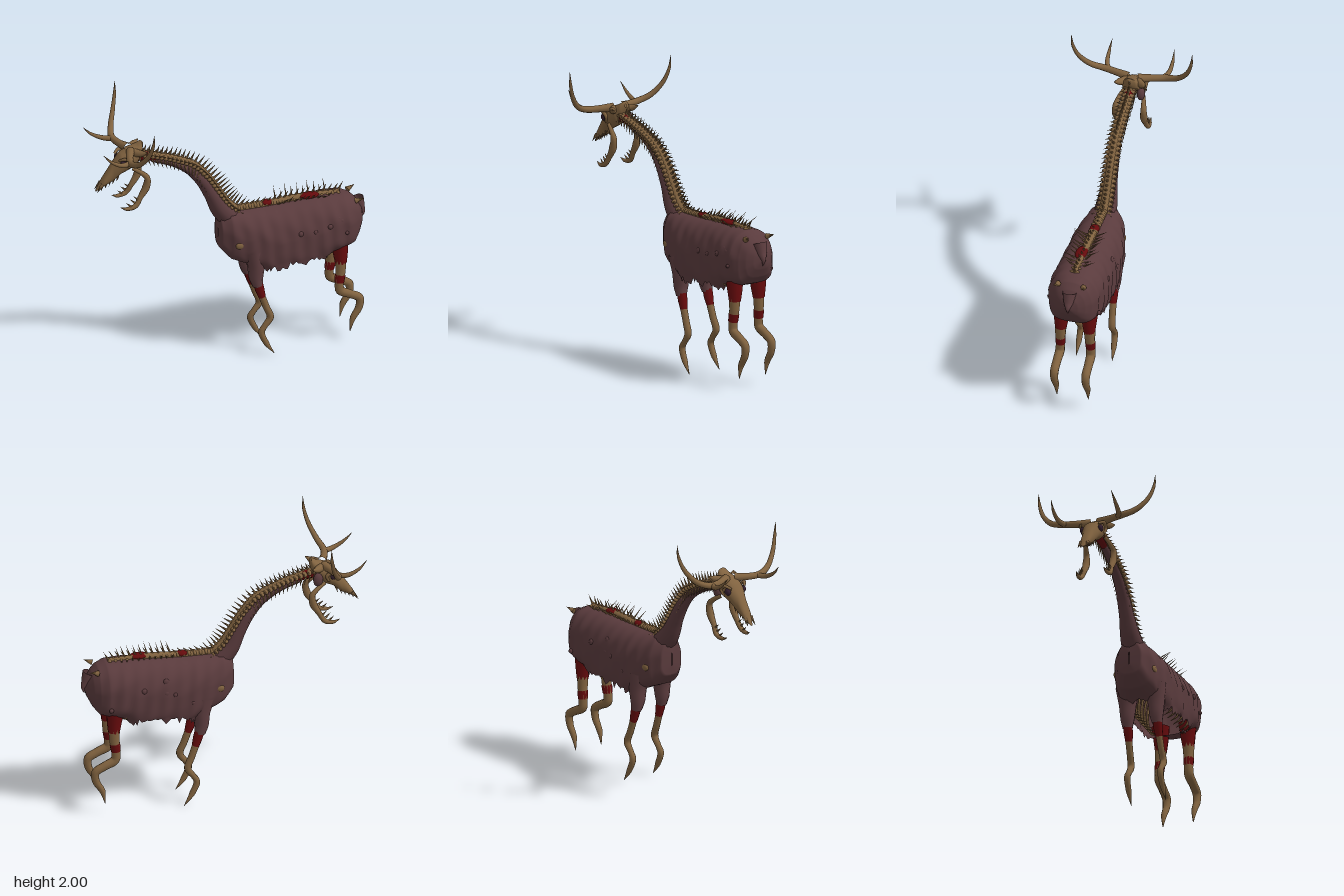
import * as THREE from 'three';
import { mergeGeometries } from 'three/addons/utils/BufferGeometryUtils.js';

const mat = (name, color, side = THREE.FrontSide) => {
  const m = new THREE.MeshStandardMaterial({ color, side });
  m.name = name;
  return m;
};
const V = (x, y, z = 0) => new THREE.Vector3(x, y, z);

// Seeded random numbers for ragged detail
let seed = 7;
const rand = () => (seed = (seed * 16807) % 2147483647) / 2147483647;

// Value row at fraction u along a list of stations
const rowAt = (rows, u) => {
  const f = u * (rows.length - 1), i = Math.min(Math.floor(f), rows.length - 2);
  return rows[i].map((a, k) => a + (rows[i + 1][k] - a) * (f - i));
};

// Surface from cross-sections: u runs along +x, v around from the bottom over the top
function loft(nu, nv, fn) {
  const pos = [], idx = [];
  for (let i = 0; i <= nu; i++)
    for (let j = 0; j <= nv; j++) pos.push(...fn(i / nu, j / nv));
  for (let i = 0; i < nu; i++)
    for (let j = 0; j < nv; j++) {
      const a = i * (nv + 1) + j, b = a + nv + 1;
      idx.push(a, a + 1, b, b, a + 1, b + 1);
    }
  const g = new THREE.BufferGeometry();
  g.setAttribute('position', new THREE.Float32BufferAttribute(pos, 3));
  g.setIndex(idx);
  g.computeVertexNormals();
  return g;
}

// Tube whose radius follows its control points [x, y, z, radius]
function limb(pts, sides = 10) {
  const curve = new THREE.CatmullRomCurve3(pts.map(p => V(p[0], p[1], p[2])), false, 'centripetal');
  const n = pts.length * 6, g = new THREE.TubeGeometry(curve, n, 1, sides);
  const p = g.attributes.position, v = V(0, 0);
  for (let i = 0; i <= n; i++) {
    const c = curve.getPointAt(i / n), r = rowAt(pts, curve.getUtoTmapping(i / n))[3];
    for (let j = 0; j <= sides; j++) {
      const k = i * (sides + 1) + j;
      v.fromBufferAttribute(p, k).sub(c).multiplyScalar(r).add(c);
      p.setXYZ(k, v.x, v.y, v.z);
    }
  }
  return g;
}

// Cone from a base point to a tip
function spike(base, tip, r) {
  const d = tip.clone().sub(base), g = new THREE.ConeGeometry(r, d.length(), 6);
  g.translate(0, d.length() / 2, 0);
  g.applyQuaternion(new THREE.Quaternion().setFromUnitVectors(V(0, 1), d.normalize()));
  return g.translate(base.x, base.y, base.z);
}

function blob(x, y, z, sx, sy, sz) {
  return new THREE.SphereGeometry(1, 14, 10).scale(sx, sy, sz).translate(x, y, z);
}

export function createModel() {
  const bone = mat('bone', 0x80623f);
  const hide = mat('hide', 0x5a3b3d, THREE.DoubleSide);
  const flesh = mat('flesh', 0x640a0c);
  const eyeMat = mat('eye', 0x35202f);
  const model = new THREE.Group();
  const add = (name, geo, material) => {
    const m = new THREE.Mesh(Array.isArray(geo) ? mergeGeometries(geo) : geo, material);
    m.name = name;
    model.add(m);
  };

  // Body hide: x, top, bottom, half width, how far round it wraps (1 = closed)
  const body = [
    [-0.078, 0.99, 0.9, 0.005, 1], [-0.07, 1.08, 0.83, 0.085, 1], [0, 1.11, 0.75, 0.135, 1],
    [0.1, 1.1, 0.71, 0.165, 1], [0.2, 1.1, 0.66, 0.185, 0.85], [0.28, 1.1, 0.62, 0.19, 0.66],
    [0.45, 1.11, 0.63, 0.192, 0.66], [0.62, 1.12, 0.65, 0.192, 0.68], [0.72, 1.12, 0.71, 0.19, 1],
    [0.82, 1.115, 0.73, 0.178, 1], [0.88, 1.09, 0.75, 0.15, 1], [0.92, 1.05, 0.8, 0.11, 1],
    [0.95, 1.0, 0.86, 0.065, 1], [0.97, 0.95, 0.92, 0.005, 1]];
  const jag = Array.from({ length: 240 }, () => rand() * 0.06 - 0.025);
  add('bodyHide', loft(117, 48, (u, v) => {
    const [x, top, bot, w, wrap] = rowAt(body, u);
    const a = (v * 2 - 1) * Math.PI * wrap, c = Math.cos(a), s = Math.sin(a);
    const mid = (top + bot) / 2, half = (top - bot) / 2;
    const ripple = 1 + 0.022 * Math.sin(x * 62 + 2.5 * c) + 0.012 * Math.sin(x * 23 + c * 9);
    let y = mid + half * (c > 0 ? c * (0.98 + 0.02 * ripple) : -Math.sqrt(-c));
    if ((v === 0 || v === 1) && wrap < 0.95) y -= jag[Math.round(u * 117) + (v ? 120 : 0)];
    return [x, y, w * ripple * Math.sign(s) * Math.abs(s) ** (c < 0 ? 0.6 : 0.85)];
  }), hide);

  // Lumps, torn patches and tail
  const lumps = [];
  for (let i = 0; i < 14; i++) {
    const x = 0.12 + rand() * 0.7, y = 0.8 + rand() * 0.22, r = 0.012 + rand() * 0.012;
    lumps.push(blob(x, y, (i % 2 ? 1 : -1) * (y > 0.95 ? 0.165 : 0.18), r, r, 0.013));
  }
  add('hideLumps', lumps, hide);
  add('tail', limb([[0.93, 1.04, 0, 0.05], [0.955, 0.97, 0, 0.035], [0.975, 0.93, 0, 0.016], [0.967, 0.885, 0, 0.001]]), hide);
  add('bareShoulderPatches', [1, -1].map(s => blob(0.04, 0.885, s * 0.14, 0.032, 0.027, 0.016)), bone);
  add('rumpBones', [1, -1].map(s => spike(V(0.89, 1.07, s * 0.09), V(0.95, 1.09, s * 0.11), 0.022)), bone);

  // Ribs showing in the open belly
  const ribs = [];
  for (let x = 0.2; x < 0.7; x += 0.055)
    for (const s of [1, -1])
      ribs.push(limb([[x, 1.05, s * 0.04, 0.009], [x, 0.98, s * 0.14, 0.009], [x, 0.83, s * 0.165, 0.009],
        [x + 0.01, 0.73, s * 0.14, 0.008], [x + 0.02, 0.7, s * 0.08, 0.002]], 6));
  add('ribs', ribs, bone);

  // Neck: hide underside with a bony spine above it
  const neck = [[0.06, 1.09], [-0.01, 1.16], [-0.075, 1.26], [-0.15, 1.38], [-0.25, 1.49],
    [-0.4, 1.565], [-0.53, 1.61], [-0.68, 1.655]];
  add('neckHide', limb([[0.02, 1.04, 0, 0.085], [-0.06, 1.13, 0, 0.07], [-0.12, 1.24, 0, 0.053],
    [-0.19, 1.36, 0, 0.045], [-0.28, 1.46, 0, 0.037], [-0.41, 1.54, 0, 0.03], [-0.55, 1.59, 0, 0.026]], 12), hide);
  add('neckFlesh', limb([[-0.5, 1.585, 0, 0.024], [-0.6, 1.62, 0, 0.036], [-0.68, 1.63, 0, 0.035]]), flesh);
  const spineCurve = new THREE.CatmullRomCurve3(neck.map(p => V(p[0], p[1])), false, 'centripetal');
  const bones = [limb(neck.map((p, i) => [p[0], p[1], 0, 0.034 - i * 0.0015]))];
  const count = 30;
  for (let i = 0; i <= count; i++) {
    const u = i / count, p = spineCurve.getPointAt(u), t = spineCurve.getTangentAt(u);
    const up = V(t.y, -t.x), size = 1.1 - 0.6 * u;
    const at = (along, out, z) => p.clone().addScaledVector(t, along).addScaledVector(up, out).setZ(z);
    bones.push(blob(p.x, p.y, 0, 0.021, 0.021, 0.045 + 0.012 * size));
    bones.push(spike(at(0, 0.012, 0), at(0.015 - 0.03 * size * u, 0.04 + 0.075 * size, 0), 0.011));
    for (const s of [1, -1]) {
      bones.push(spike(at(0, 0, s * 0.03), at(-0.022, 0.025, s * (0.052 + 0.02 * size)), 0.009));
      bones.push(spike(at(0, -0.02, s * 0.03), at(-0.03, -0.045 - 0.035 * size, s * 0.045), 0.008));
    }
  }
  add('neckSpine', bones, bone);

  // Back: exposed spine with rearward spikes and broken rib ends
  const back = [limb([[0.03, 1.1, 0, 0.03], [0.25, 1.1, 0, 0.028], [0.5, 1.115, 0, 0.028], [0.8, 1.115, 0, 0.018]])];
  for (let i = 0; i < 19; i++) {
    const x = 0.07 + i * 0.04, h = i > 6 ? 0.068 : 0.04;
    back.push(blob(x, 1.112, 0, 0.015, 0.018, 0.036));
    back.push(spike(V(x, 1.115, 0), V(x + 0.045, 1.12 + h, 0.008 * (i % 3 - 1)), 0.011));
    if (i > 6 && i < 17) for (const s of [1, -1])
      back.push(spike(V(x, 1.1, s * 0.02), V(x + 0.015, 1.15 + 0.035 * rand(), s * (0.085 + 0.05 * rand())), 0.008));
  }
  add('backSpine', back, bone);
  add('backFlesh', [blob(0.28, 1.115, 0, 0.045, 0.02, 0.035), blob(0.58, 1.125, 0.01, 0.075, 0.02, 0.042)], flesh);

  // Skull: x, top, bottom, half width, from muzzle to nape
  const skull = [[-0.965, 1.408, 1.4, 0.006], [-0.91, 1.5, 1.435, 0.034], [-0.85, 1.59, 1.465, 0.043],
    [-0.79, 1.665, 1.52, 0.068], [-0.73, 1.7, 1.55, 0.082], [-0.67, 1.72, 1.59, 0.065],
    [-0.635, 1.742, 1.66, 0.04], [-0.62, 1.73, 1.7, 0.003]];
  add('skull', loft(42, 24, (u, v) => {
    const [x, top, bot, w] = rowAt(skull, u), a = (v * 2 - 1) * Math.PI;
    const s = Math.sin(a);
    return [x, (top + bot) / 2 + Math.cos(a) * (top - bot) / 2, w * Math.sign(s) * Math.abs(s) ** 0.8];
  }), bone);
  add('cheekHide', blob(-0.67, 1.6, -0.068, 0.035, 0.05, 0.028), hide);

  const horns = [], jaws = [], teeth = [], eyes = [], brows = [];
  for (const s of [1, -1]) {
    eyes.push(blob(-0.78, 1.615, s * 0.066, 0.027, 0.026, 0.018));
    brows.push(limb([[-0.81, 1.64, s * 0.055, 0.008], [-0.77, 1.658, s * 0.085, 0.013], [-0.73, 1.63, s * 0.085, 0.013], [-0.745, 1.585, s * 0.075, 0.008]], 8));
    brows.push(limb([[-0.7, 1.68, s * 0.04, 0.03], [-0.655, 1.685, s * 0.085, 0.024], [-0.62, 1.7, s * 0.11, 0.002]]));
    // Antler beam and forward tine
    horns.push(limb([[-0.72, 1.69, s * 0.03, 0.032], [-0.755, 1.685, s * 0.12, 0.025], [-0.775, 1.69, s * 0.22, 0.023],
      [-0.75, 1.725, s * 0.31, 0.02], [-0.71, 1.81, s * 0.385, 0.016], [-0.685, 1.91, s * 0.422, 0.011], [-0.68, 2, s * 0.432, 0.001]]));
    horns.push(limb([[-0.765, 1.685, s * 0.19, 0.02], [-0.84, 1.69, s * 0.22, 0.017], [-0.92, 1.73, s * 0.227, 0.011], [-0.98, 1.79, s * 0.222, 0.001]]));
    // Hanging jaw half
    jaws.push(limb([[-0.72, 1.575, s * 0.07, 0.012], [-0.66, 1.54, s * 0.09, 0.016], [-0.622, 1.5, s * 0.1, 0.021],
      [-0.63, 1.43, s * 0.1, 0.027], [-0.67, 1.36, s * 0.1, 0.019], [-0.71, 1.3, s * 0.108, 0.018],
      [-0.77, 1.285, s * 0.105, 0.013], [-0.815, 1.3, s * 0.1, 0.001]]));
    for (const [x, y] of [[-0.69, 1.345], [-0.715, 1.325], [-0.74, 1.3]])
      teeth.push(spike(V(x, y, s * 0.105), V(x - 0.035, y + 0.03, s * 0.1), 0.009));
    for (let i = 0; i < 5; i++) {
      const x = -0.92 + i * 0.028, y = 1.442 + i * 0.014;
      teeth.push(spike(V(x, y + 0.01, s * 0.025), V(x - 0.012, y - 0.032, s * 0.026), 0.009));
    }
    teeth.push(spike(V(-0.92, 1.46, s * 0.025), V(-0.965, 1.4, s * 0.032), 0.013));
  }
  add('antlers', horns, bone);
  add('jaw', jaws, bone);
  add('teeth', teeth, bone);
  add('eyes', eyes, eyeMat);
  add('brows', brows, bone);

  // Legs, mirrored left and right
  for (const s of [1, -1]) {
    const side = s > 0 ? 'left' : 'right';
    add(side + 'FrontThighHide', limb([[0.15, 0.82, s * 0.1, 0.085], [0.165, 0.7, s * 0.105, 0.062],
      [0.165, 0.6, s * 0.107, 0.05], [0.175, 0.54, s * 0.11, 0.036]]), hide);
    add(side + 'FrontLegFlesh', limb([[0.175, 0.57, s * 0.11, 0.034], [0.19, 0.51, s * 0.11, 0.033], [0.207, 0.45, s * 0.112, 0.026]]), flesh);
    add(side + 'FrontLegBone', limb([[0.2, 0.47, s * 0.112, 0.025], [0.235, 0.37, s * 0.115, 0.024], [0.264, 0.285, s * 0.12, 0.025],
      [0.225, 0.225, s * 0.12, 0.02], [0.2, 0.18, s * 0.122, 0.023], [0.235, 0.09, s * 0.125, 0.02], [0.292, 0.005, s * 0.128, 0.001]]), bone);
    add(side + 'HindThighFlesh', limb([[0.77, 0.8, s * 0.1, 0.065], [0.778, 0.7, s * 0.1, 0.053], [0.782, 0.615, s * 0.102, 0.041]]), flesh);
    add(side + 'HindLegBone', limb([[0.78, 0.65, s * 0.102, 0.042], [0.778, 0.55, s * 0.105, 0.036], [0.768, 0.46, s * 0.108, 0.032],
      [0.775, 0.405, s * 0.11, 0.033], [0.85, 0.365, s * 0.112, 0.03], [0.913, 0.325, s * 0.112, 0.03],
      [0.91, 0.255, s * 0.112, 0.026], [0.865, 0.175, s * 0.112, 0.021], [0.845, 0.08, s * 0.112, 0.002]]), bone);
    add(side + 'HindLegWound', limb([[0.777, 0.53, s * 0.106, 0.037], [0.772, 0.495, s * 0.107, 0.036], [0.769, 0.47, s * 0.108, 0.034]]), flesh);
  }
  return model;
}
